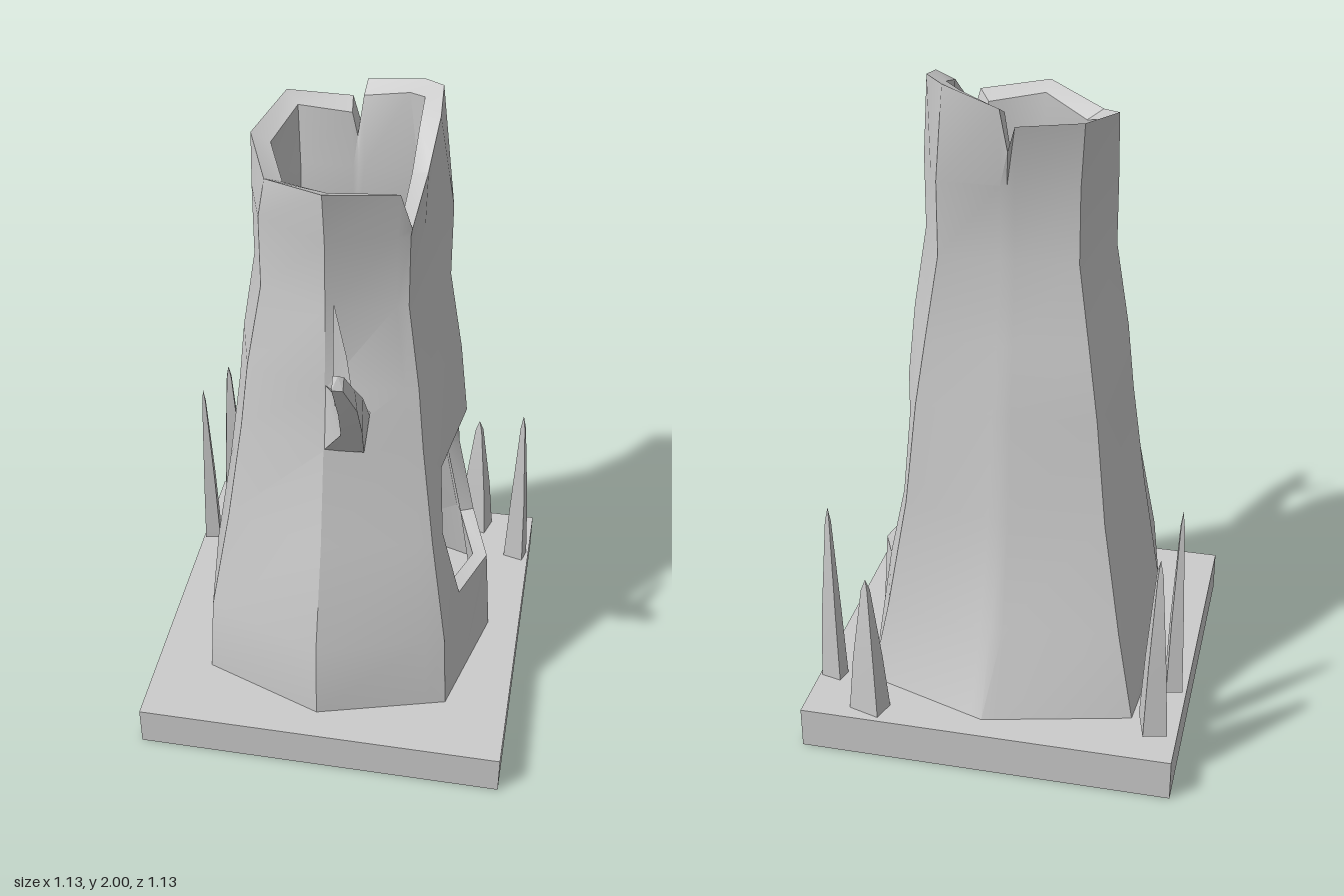
import * as THREE from 'three';
import { toCreasedNormals } from 'three/addons/utils/BufferGeometryUtils.js';

const material = new THREE.MeshStandardMaterial({ color: 0xcccccc });
const lerp = THREE.MathUtils.lerp;
const mix = (a, b, t) => a.map((v, i) => lerp(v, b[i], t));

// Skin a stack of closed rings; optional end point closes the last ring.
function loft(name, rings, { end, crease = 0.5, skip = () => false } = {}) {
  const p = [];
  const n = rings[0].length;
  for (let j = 0; j < rings.length - 1; j++) {
    for (let i = 0; i < n; i++) {
      if (skip(j, i)) continue;
      const k = (i + 1) % n;
      const [a, b, c, d] = [rings[j][i], rings[j][k], rings[j + 1][k], rings[j + 1][i]];
      p.push(...a, ...b, ...c, ...a, ...c, ...d);
    }
  }
  const last = rings[rings.length - 1];
  if (end) last.forEach((a, i) => p.push(...a, ...last[(i + 1) % n], ...end));
  const g = new THREE.BufferGeometry();
  g.setAttribute('position', new THREE.Float32BufferAttribute(p, 3));
  const mesh = new THREE.Mesh(toCreasedNormals(g, crease), material);
  mesh.name = name;
  return mesh;
}

// Taper of the trunk: 1 at the foot, 0 at the neck.
const KNOTS = [0.13, 0.39, 0.73, 1.05, 1.25, 1.5];
const SIDE = [1, 0.92, 0.6, 0.35, 0.23, 0];
const FRONT = [1, 0.97, 0.5, 0.22, 0.08, 0];
const CORNER = [1, 0.75, 0.48, 0.32, 0.18, 0];
const BACK = [1, 0.66, 0.37, 0.25, 0.12, 0];
function taper(y, k) {
  for (let i = 1; i < KNOTS.length; i++) {
    if (y <= KNOTS[i]) return lerp(k[i - 1], k[i], (y - KNOTS[i - 1]) / (KNOTS[i] - KNOTS[i - 1]));
  }
  return 0;
}

const ROWS = [0.13, 0.39, 0.73, 1.05, 1.25, 1.5, 1.72];
const withHole = (low, mid, high) => [0.13, low, mid, high, 1.25, 1.5, 1.72];

// Main corner column: foot [x,z], neck [x,z], rim [x,y,z].
function column(foot, neck, rim, k, ys = ROWS) {
  const at = y => {
    const [x, z] = mix(neck, foot, taper(y, k));
    return [x, Math.min(y, rim[1] - 0.02), z];
  };
  return { at, rim, points: ys.map(at) };
}

// Extra column lying on the face between two corner columns.
function between(a, b, ts, rim, ys = ROWS) {
  return { rim, points: ys.map((y, i) => mix(a.at(y), b.at(y), Array.isArray(ts) ? ts[i] : ts)) };
}

// Move a point towards the trunk's axis by the wall thickness.
function inset([x, y, z], wall, drop = 0) {
  const s = 1 - wall / Math.hypot(x, z);
  return [x * s, y - drop, z * s];
}

function buildTrunk() {
  const front = column([-0.02, 0.468], [-0.02, 0.26], [-0.02, 1.88, 0.29], FRONT);
  const frontRight = column([0.37, 0.355], [0.2, 0.19], [0.205, 1.75, 0.2], SIDE);
  const right = column([0.465, -0.02], [0.292, 0.01], [0.245, 1.975, -0.01], SIDE, withHole(0.43, 0.73, 1.02));
  const backRight = column([0.4, -0.36], [0.2, -0.2], [0.18, 1.99, -0.19], CORNER);
  const back = column([0.02, -0.49], [0, -0.2], [-0.01, 1.83, -0.235], BACK);
  const backLeft = column([-0.42, -0.385], [-0.2, -0.18], [-0.215, 1.915, -0.21], CORNER);
  const left = column([-0.45, 0], [-0.275, 0], [-0.272, 1.885, 0], SIDE);
  const frontLeft = column([-0.39, 0.33], [-0.22, 0.165], [-0.2, 1.84, 0.165], SIDE);
  const holeFront = between(frontRight, right, [0.38, 0.38, 0.22, 0.33, 0.33, 0.33, 0.33],
    [0.235, 1.89, 0.14], withHole(0.46, 0.72, 0.93));
  const holeBack = between(backRight, right, [0.45, 0.45, 0.25, 0.45, 0.45, 0.45, 0.45],
    [0.235, 2, -0.14], withHole(0.48, 0.73, 0.96));

  const columns = [
    front, between(front, frontRight, 0.85, [0.175, 1.86, 0.22]), frontRight,
    holeFront, right, holeBack, backRight,
    between(backRight, back, 0.9, [0.01, 1.95, -0.245]), back,
    between(back, backLeft, 0.1, [-0.03, 1.9, -0.235]), backLeft, left, frontLeft,
  ];
  const outer = ROWS.map((_, j) => columns.map(c => c.points[j]));
  const rim = columns.map(c => c.rim);
  const innerRim = rim.map(q => inset(q, 0.055, 0.025));
  const bark = loft('bark', [...outer, rim, innerRim], {
    skip: (j, i) => (j === 1 || j === 2) && (i === 3 || i === 4),
  });

  // Hollow inside, from the rim down to the floor
  const inner = outer.map(ring => ring.map(q => inset(q, 0.045)));
  const inside = loft('hollowInside', [innerRim, ...inner.reverse()], {
    end: [-0.02, 0.14, 0],
    crease: 1,
    skip: (j, i) => (j === 4 || j === 5) && (i === 3 || i === 4),
  });

  // Thickness of the wall around the side opening
  const [f, r, b] = [holeFront.points, right.points, holeBack.points];
  const mouth = [f[1], r[1], b[1], b[2], b[3], r[3], f[3], f[2]];
  const edge = loft('openingEdge', [mouth, mouth.map(q => inset(q, 0.045))]);
  return [bark, inside, edge];
}

function buildBranch() {
  const limb = loft('branch', [
    [[-0.02, 1.05, 0.27], [0.09, 1.05, 0.27], [0.1, 1.25, 0.2], [-0.02, 1.27, 0.22]],
    [[-0.02, 1.05, 0.3], [0.095, 1.05, 0.29], [0.107, 1.17, 0.27], [-0.02, 1.26, 0.27]],
    [[0.05, 1.2, 0.41], [0.108, 1.21, 0.4], [0.108, 1.32, 0.39], [0.04, 1.325, 0.405]],
    [[0.06, 1.34, 0.5], [0.11, 1.35, 0.49], [0.1, 1.41, 0.475], [0.05, 1.41, 0.475]],
    [[0.055, 1.47, 0.567], [0.085, 1.47, 0.565], [0.085, 1.505, 0.55], [0.055, 1.505, 0.55]],
  ], { end: [0.07, 1.51, 0.555], crease: 0.3 });
  const twig = loft('twig', [
    [[0.05, 1.37, 0.5], [0.1, 1.38, 0.49], [0.07, 1.38, 0.45]],
    [[0.04, 1.5, 0.465], [0.075, 1.5, 0.455], [0.05, 1.5, 0.435]],
  ], { end: [0.035, 1.64, 0.42], crease: 0.3 });
  return [limb, twig];
}

// Pointed shoot: foot centre, half sizes, turn, tip position.
function buildShoot(x, y, z, w, d, turn, tip) {
  const ring = (t, s) => [[-1, 1], [1, 1], [1, -1], [-1, -1]].map(([u, v]) => {
    const [a, b] = [u * w * s, v * d * s];
    return [
      lerp(x, tip[0], t * t) + a * Math.cos(turn) + b * Math.sin(turn),
      lerp(y, tip[1], t),
      lerp(z, tip[2], t * t) - a * Math.sin(turn) + b * Math.cos(turn),
    ];
  });
  return loft('shoot', [ring(0, 1), ring(0.4, 0.72), ring(0.92, 0.22)], { end: tip, crease: 0.3 });
}

export function createModel() {
  const model = new THREE.Group();
  model.name = 'hollowStump';

  const base = new THREE.Mesh(new THREE.BoxGeometry(1.13, 0.13, 1.13), material);
  base.name = 'base';
  base.position.y = 0.065;

  const trunk = new THREE.Group();
  trunk.name = 'trunk';
  trunk.add(...buildTrunk(), ...buildBranch());

  const shoots = new THREE.Group();
  shoots.name = 'shoots';
  shoots.add(
    buildShoot(-0.493, 0.17, -0.45, 0.036, 0.055, 0.25, [-0.495, 0.745, -0.45]),
    buildShoot(-0.527, 0.17, -0.253, 0.025, 0.033, 0.2, [-0.53, 0.79, -0.25]),
    buildShoot(0.365, 0.13, -0.5, 0.05, 0.035, -0.3, [0.36, 0.59, -0.5]),
    buildShoot(0.52, 0.13, -0.367, 0.033, 0.024, -0.25, [0.512, 0.735, -0.365]),
  );
  model.add(base, trunk, shoots);
  return model;
}
